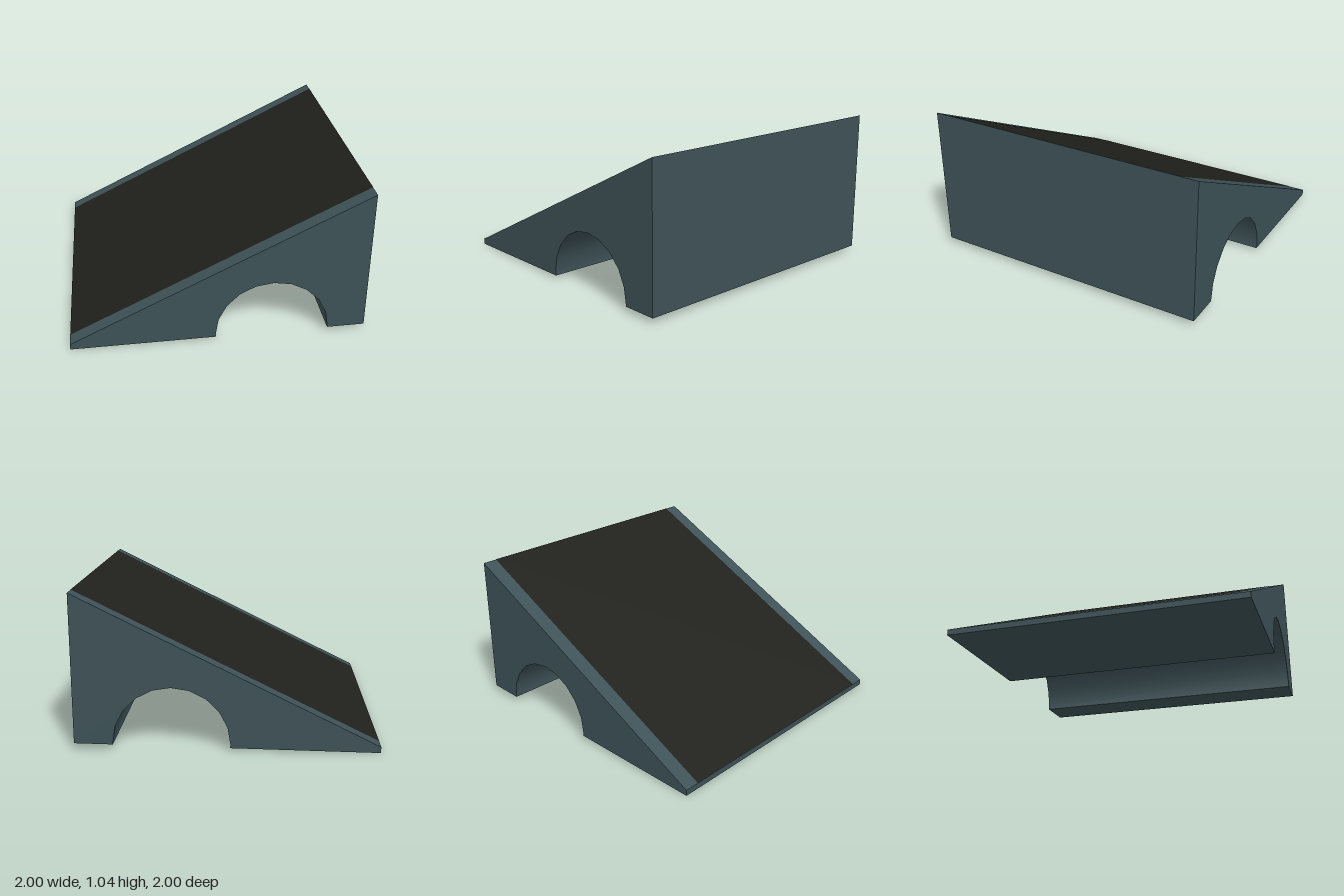
import * as THREE from 'three';
import { toCreasedNormals } from 'three/addons/utils/BufferGeometryUtils.js';

const LOW = 0.04, HIGH = 1.04, WIDTH = 2;
const ARCH = { x: 0.36, y: 0.04, r: 0.385, sides: 10 };

// underside height: rises slightly toward the tall end
const underside = (x) => 0.02 * (x + 1);

export function createModel() {
  const model = new THREE.Group();
  model.name = 'ramp';

  // wedge profile with an arched tunnel cut from below
  const profile = new THREE.Shape();
  profile.moveTo(-1, underside(-1));
  const leftFoot = ARCH.x - ARCH.r + 0.003;
  profile.lineTo(leftFoot, underside(leftFoot));
  for (let i = 0; i <= ARCH.sides; i++) {
    const a = Math.PI * (1 - i / ARCH.sides);
    profile.lineTo(ARCH.x + ARCH.r * Math.cos(a), ARCH.y + ARCH.r * Math.sin(a));
  }
  const rightFoot = ARCH.x + ARCH.r - 0.001;
  profile.lineTo(rightFoot, underside(rightFoot));
  profile.lineTo(1, underside(1));
  profile.lineTo(1, HIGH);
  profile.lineTo(-1, LOW);

  const bodyGeometry = new THREE.ExtrudeGeometry(profile, { depth: WIDTH, bevelEnabled: false });
  bodyGeometry.translate(0, 0, -WIDTH / 2);
  const body = new THREE.Mesh(
    toCreasedNormals(bodyGeometry, 0.5),
    new THREE.MeshStandardMaterial({ color: 0x3d5156 })
  );
  body.name = 'wedgeBody';
  model.add(body);

  // dark grip sheet on the slope, leaving a plain strip along each side
  const slopeLength = Math.hypot(2, HIGH - LOW);
  const gripGeometry = new THREE.PlaneGeometry(slopeLength, 1.79);
  gripGeometry.rotateX(-Math.PI / 2);
  gripGeometry.rotateZ(Math.atan2(HIGH - LOW, 2));
  gripGeometry.translate(0, (LOW + HIGH) / 2 + 0.002, 0);
  const grip = new THREE.Mesh(gripGeometry, new THREE.MeshStandardMaterial({ color: 0x20201c }));
  grip.name = 'gripSurface';
  model.add(grip);

  return model;
}
